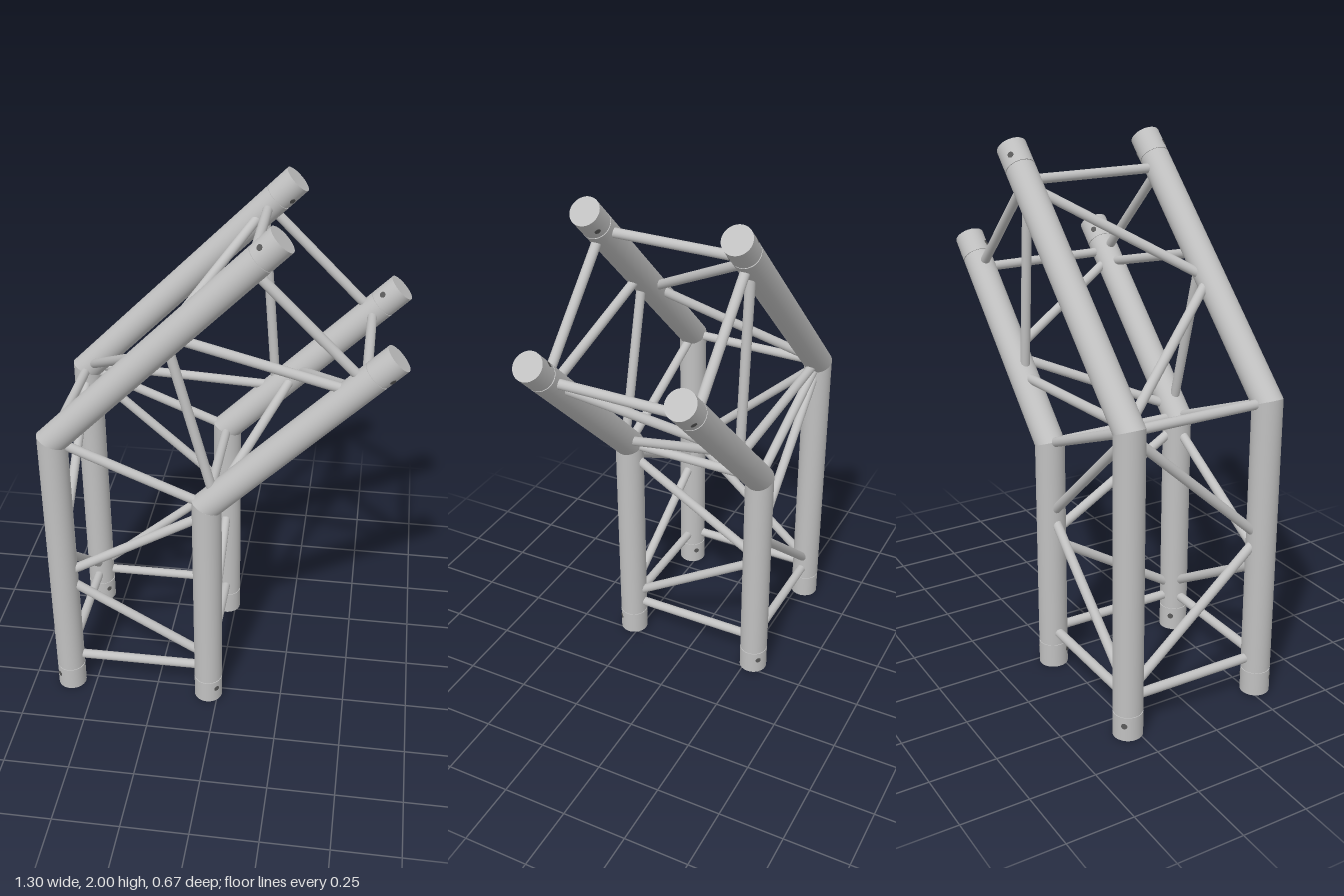
import * as THREE from 'three';

const R = 0.055;            // main tube radius
const r = 0.018;            // brace radius
const Z = 0.28;             // half depth between tube axes
const OUT = { x: -0.598, h: 1.15 };   // outer legs: position, height of the bend
const INN = { x: -0.038, h: 0.918 };  // inner legs
const BEND = Math.PI / 8;   // half of the 45 degree bend

const metal = new THREE.MeshStandardMaterial({ color: 0xc0c0c0 });
metal.name = 'aluminium grey';
const dark = new THREE.MeshStandardMaterial({ color: 0x5a5a5a });
dark.name = 'hole grey';

function add(parent, name, geometry, material = metal) {
  const mesh = new THREE.Mesh(geometry, material);
  mesh.name = name;
  parent.add(mesh);
  return mesh;
}

// Round bar between two points
function bar(parent, name, a, b, radius = r, material = metal) {
  const p = new THREE.Vector3(...a), q = new THREE.Vector3(...b);
  const mesh = add(parent, name, new THREE.CylinderGeometry(radius, radius, p.distanceTo(q), 20), material);
  mesh.position.copy(p).add(q).multiplyScalar(0.5);
  mesh.quaternion.setFromUnitVectors(new THREE.Vector3(0, 1, 0), q.sub(p).normalize());
  return mesh;
}

// Main tube: end sleeve, shallow groove, shaft cut on the mitre, cross-drilled hole
function leg({ x, h }, z) {
  const g = new THREE.Group();
  g.name = 'leg';
  const tube = (name, radius, y0, y1) =>
    add(g, name, new THREE.CylinderGeometry(radius, radius, y1 - y0, 48).translate(0, (y0 + y1) / 2, 0));
  tube('endSleeve', R, 0, 0.094);
  tube('sleeveGroove', R - 0.003, 0.094, 0.099);
  const pos = tube('shaft', R, 0.099, h).geometry.attributes.position;
  for (let i = 0; i < pos.count; i++) {
    if (pos.getY(i) > h - 0.01) pos.setY(i, h - pos.getX(i) * Math.tan(BEND));
  }
  // Hole runs diagonally, from the outer corner of the frame inwards
  const d = 0.0557 * Math.SQRT1_2;
  const sx = x === OUT.x ? -1 : 1, sz = Math.sign(z);
  bar(g, 'pinHole', [sx * d, 0.06, sz * d], [-sx * d, 0.06, -sz * d], 0.011, dark);
  g.position.set(x, 0, z);
  return g;
}

// One straight half of the frame; flip swaps its front and back bracing
function half(name, flip) {
  const g = new THREE.Group();
  g.name = name;
  const f = Z * flip;
  for (const z of [-Z, Z]) {
    g.add(leg(OUT, z), leg(INN, z));
    bar(g, 'endStrut', [OUT.x, 0.145, z], [INN.x, 0.145, z]);
  }
  for (const { x } of [OUT, INN]) bar(g, 'endCrossStrut', [x, 0.145, -Z], [x, 0.145, Z]);

  // Zigzag braces on the front and back faces: outer height, inner height
  const across = (yo, yi, z) => bar(g, 'faceBrace', [OUT.x, yo, z], [INN.x, yi, z]);
  across(0.525, 0.196, f);
  across(0.546, 0.875, f);
  across(0.166, 0.646, -f);
  across(1.135, 0.63, -f);

  // Zigzag braces on the inner and outer sides: front height, back height
  const along = (x, yf, yb) => bar(g, 'sideBrace', [x, yf, f], [x, yb, -f]);
  along(INN.x, 0.18, 0.525);
  along(INN.x, 0.875, 0.546);
  along(OUT.x, 0.646, 0.166);
  along(OUT.x, 0.63, 1.135);
  return g;
}

export function createModel() {
  const model = new THREE.Group();
  model.name = 'angledTrussCorner';
  model.add(half('lowerHalf', 1));

  // Upper half: the lower one turned half a revolution about the mitre line
  const pivot = new THREE.Group();
  pivot.name = 'upperPivot';
  pivot.position.set(OUT.x, OUT.h, 0);
  pivot.quaternion.setFromAxisAngle(new THREE.Vector3(Math.cos(BEND), -Math.sin(BEND), 0), Math.PI);
  const upper = half('upperHalf', -1);
  upper.position.set(-OUT.x, -OUT.h, 0);
  pivot.add(upper);
  model.add(pivot);

  // Struts lying in the mitre plane
  for (const z of [-Z, Z]) bar(model, 'mitreStrut', [OUT.x, OUT.h, z], [INN.x, INN.h, z]);
  for (const { x, h } of [OUT, INN]) bar(model, 'mitreCrossStrut', [x, h, -Z], [x, h, Z]);
  return model;
}
